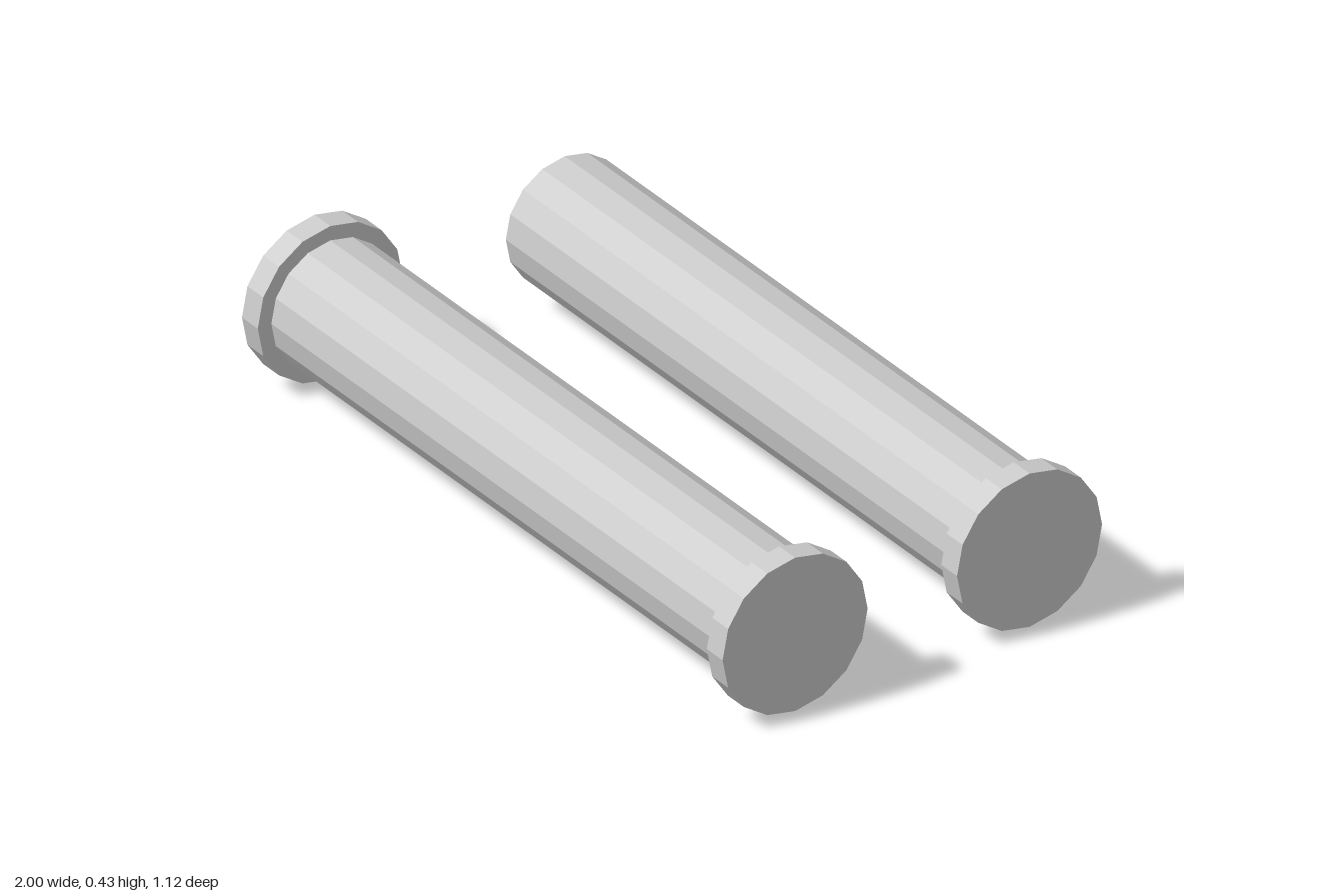
import * as THREE from 'three';

const SIDES = 16, CAP_R = 0.214, TUBE_R = 0.174, CAP_T = 0.066;

export function createModel() {
  const group = new THREE.Group();
  const solid = new THREE.MeshStandardMaterial({ color: 0xcccccc, flatShading: true });
  const open = new THREE.MeshStandardMaterial({ color: 0xcccccc, flatShading: true, side: THREE.DoubleSide });

  // Cylinder lying along x
  const lying = (name, radius, length, x, z, hollow) => {
    const geometry = new THREE.CylinderGeometry(radius, radius, length, SIDES, 1, hollow).rotateZ(-Math.PI / 2);
    const mesh = new THREE.Mesh(geometry, hollow ? open : solid);
    mesh.name = name;
    mesh.position.set(x, CAP_R, z);
    return mesh;
  };

  // Tube with a wider end cap at each listed side
  const cappedTube = (name, z, capSides) => {
    const part = new THREE.Group();
    part.name = name;
    part.add(lying('tube', TUBE_R, 2 - 2 * CAP_T, 0, z, true));
    for (const side of capSides) {
      part.add(lying(side > 0 ? 'leftCap' : 'rightCap', CAP_R, CAP_T, side * (1 - CAP_T / 2), z, false));
    }
    return part;
  };

  // The front tube is closed, the back one is open at -x
  group.add(cappedTube('closedTube', 0.346, [-1, 1]));
  group.add(cappedTube('openTube', -0.346, [1]));
  return group;
}
